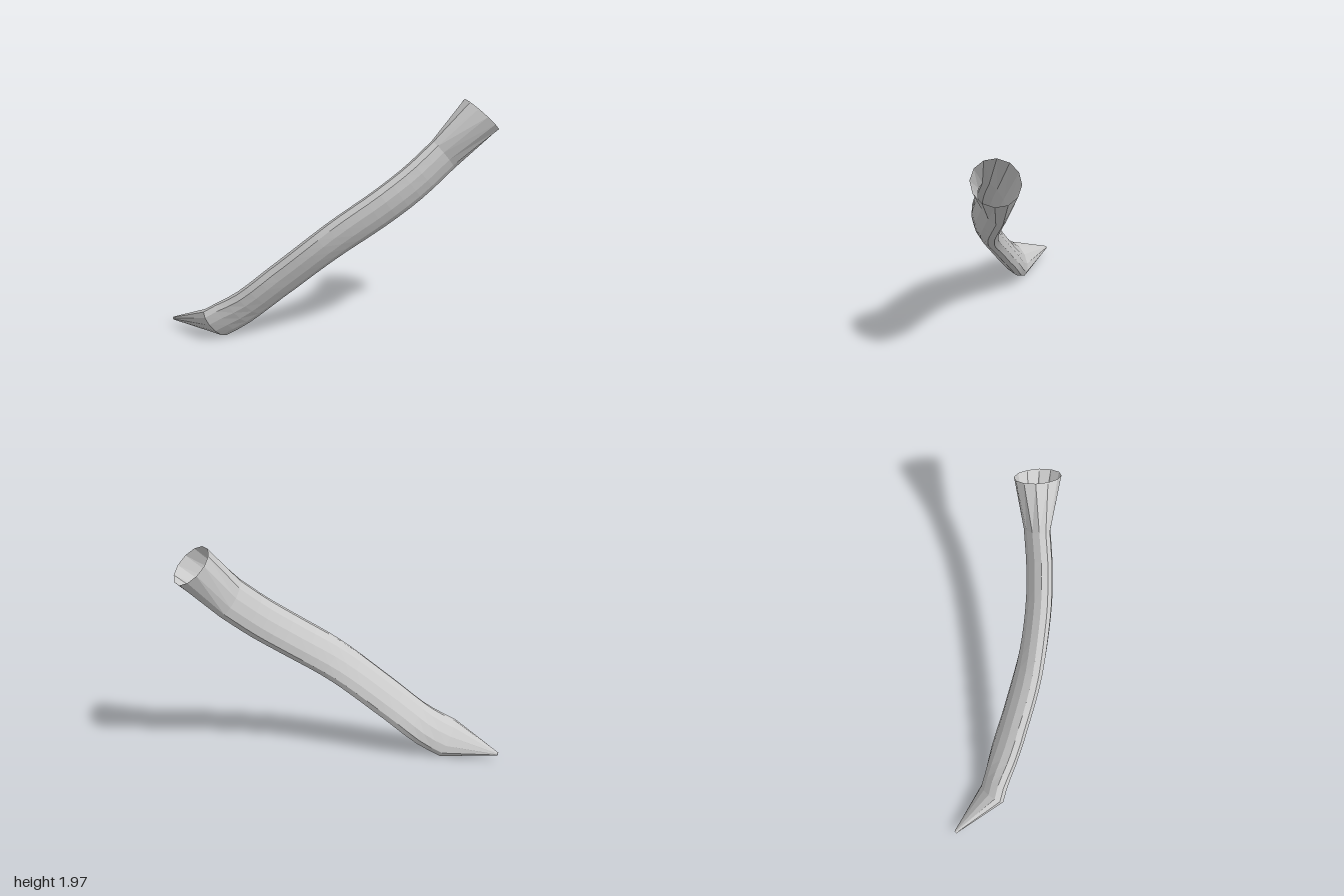
import * as THREE from 'three';

const SIDES = 12;

// Elliptical ring: centre, axis, half width across (level with the xy plane), half thickness
function ring(centre, axis, wide, thin) {
  const n = axis.clone().normalize();
  const u = new THREE.Vector3(n.y, -n.x, 0).normalize();
  const v = new THREE.Vector3().crossVectors(n, u);
  return Array.from({ length: SIDES }, (_, i) => {
    const t = (i / SIDES) * Math.PI * 2;
    return centre.clone().addScaledVector(u, wide * Math.cos(t)).addScaledVector(v, thin * Math.sin(t));
  });
}

// Skin joining successive rings
function loft(name, rings, capStart = false) {
  const positions = rings.flat().flatMap((p) => [p.x, p.y, p.z]);
  const index = [];
  for (let r = 0; r < rings.length - 1; r++) {
    for (let i = 0; i < SIDES; i++) {
      const a = r * SIDES + i, b = r * SIDES + ((i + 1) % SIDES);
      index.push(a, b, b + SIDES, a, b + SIDES, a + SIDES);
    }
  }
  if (capStart) for (let i = 1; i < SIDES - 1; i++) index.push(0, i + 1, i);
  const geometry = new THREE.BufferGeometry();
  geometry.setAttribute('position', new THREE.Float32BufferAttribute(positions, 3));
  geometry.setIndex(index);
  geometry.computeVertexNormals();
  const material = new THREE.MeshStandardMaterial({ color: 0xcccccc, flatShading: true, side: THREE.DoubleSide });
  const mesh = new THREE.Mesh(geometry, material);
  mesh.name = name;
  return mesh;
}

export function createModel() {
  const V = (x, y, z) => new THREE.Vector3(x, y, z);

  // Curved, flattened tube whose rings lean towards the tip at its lower end
  const path = new THREE.CatmullRomCurve3([
    V(-0.795, 0.145, -0.57), V(-0.655, 0.28, -0.4), V(-0.46, 0.55, -0.14), V(-0.19, 0.895, 0.18),
    V(0.1, 1.165, 0.43), V(0.31, 1.35, 0.565), V(0.52, 1.55, 0.67),
  ]);
  const STEPS = 20;
  const body = [];
  for (let i = 0; i <= STEPS; i++) {
    const t = i / STEPS;
    const axis = path.getTangentAt(t);
    axis.z += 0.3 * Math.max(0, 1 - t * 4);
    body.push(ring(path.getPointAt(t), axis, 0.172, 0.088));
  }

  // Small closed tip and wide open mouth
  const tip = ring(V(-0.9, 0.08, -0.997), V(0.2, 0.2, 1), 0.013, 0.013);
  const mouth = ring(V(0.772, 1.855, 0.827), V(0.62, 0.72, 0.31), 0.182, 0.182);

  const group = new THREE.Group();
  group.name = 'curvedHorn';
  group.add(
    loft('pointedTip', [tip, body[0]], true),
    loft('curvedTube', body),
    loft('flaredMouth', [body[STEPS], mouth]),
  );
  return group;
}
